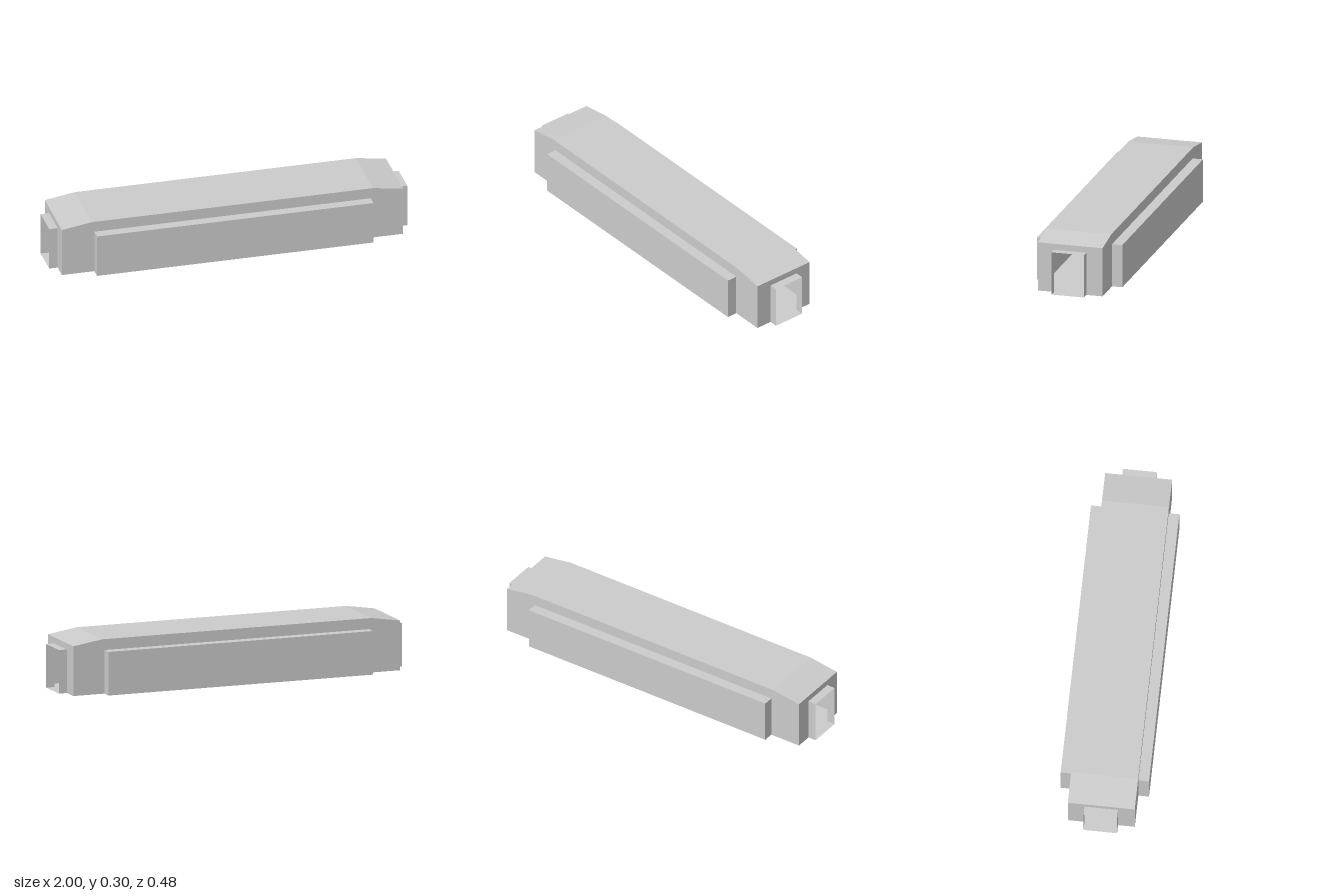
import * as THREE from 'three';

const material = new THREE.MeshStandardMaterial({ color: 0xcccccc, flatShading: true, side: THREE.DoubleSide });

// Overall dimensions (half sizes along x and z)
const BODY_X = 0.953, BODY_Z = 0.182, EAVE_Y = 0.274, ROOF_Y = 0.3, ROOF_X = 0.785;
const DOOR_Z = 0.091, DOOR_Y = 0.24;
const PANEL_X = 0.772, PANEL_Z = 0.24;

function addMesh(parent, name, geometry) {
  const mesh = new THREE.Mesh(geometry, material);
  mesh.name = name;
  parent.add(mesh);
  return mesh;
}

// Thin sheet made by sweeping a polyline along a straight offset
function sheet(points, offset) {
  const positions = [];
  for (let i = 0; i < points.length - 1; i++) {
    const a = new THREE.Vector3(...points[i]);
    const b = new THREE.Vector3(...points[i + 1]);
    const c = b.clone().add(offset);
    const d = a.clone().add(offset);
    for (const p of [a, b, c, a, c, d]) positions.push(p.x, p.y, p.z);
  }
  const geometry = new THREE.BufferGeometry();
  geometry.setAttribute('position', new THREE.Float32BufferAttribute(positions, 3));
  geometry.computeVertexNormals();
  return geometry;
}

function flatShape(points) {
  return new THREE.ShapeGeometry(new THREE.Shape(points.map(([x, y]) => new THREE.Vector2(x, y))));
}

export function createModel() {
  const model = new THREE.Group();
  model.name = 'corridorModule';

  // Hollow body: roof with sloping ends, and floor
  const across = new THREE.Vector3(0, 0, 2 * BODY_Z);
  const roofLine = [[BODY_X, EAVE_Y], [ROOF_X, ROOF_Y], [-ROOF_X, ROOF_Y], [-BODY_X, EAVE_Y]];
  addMesh(model, 'roof', sheet(roofLine.map(([x, y]) => [x, y, -BODY_Z]), across));
  addMesh(model, 'floor', sheet([[-BODY_X, 0, -BODY_Z], [BODY_X, 0, -BODY_Z]], across));

  // Side walls follow the roof line; each carries a shallow outer panel
  for (const [s, side] of [[1, 'front'], [-1, 'back']]) {
    const wall = addMesh(model, side + 'Wall', flatShape([[-BODY_X, 0], [BODY_X, 0], ...roofLine]));
    wall.position.z = s * BODY_Z;
    wall.rotation.y = s > 0 ? 0 : Math.PI;

    const panel = addMesh(model, side + 'Panel',
      new THREE.BoxGeometry(2 * PANEL_X, DOOR_Y, PANEL_Z - BODY_Z));
    panel.position.set(0, DOOR_Y / 2, s * (PANEL_Z + BODY_Z) / 2);
  }

  // End walls with a doorway, and an open sleeve around each doorway
  const endOutline = [
    [-BODY_Z, 0], [-DOOR_Z, 0], [-DOOR_Z, DOOR_Y], [DOOR_Z, DOOR_Y], [DOOR_Z, 0],
    [BODY_Z, 0], [BODY_Z, EAVE_Y], [-BODY_Z, EAVE_Y],
  ];
  const sleeveLine = [[0, DOOR_Z], [0, -DOOR_Z], [DOOR_Y, -DOOR_Z], [DOOR_Y, DOOR_Z], [0, DOOR_Z]];
  for (const [s, side] of [[1, 'left'], [-1, 'right']]) {
    const endWall = addMesh(model, side + 'EndWall', flatShape(endOutline));
    endWall.position.x = s * BODY_X;
    endWall.rotation.y = s * Math.PI / 2;

    const startX = s > 0 ? BODY_X : -1;
    addMesh(model, side + 'DoorSleeve',
      sheet(sleeveLine.map(([y, z]) => [startX, y, z]), new THREE.Vector3(1 - BODY_X, 0, 0)));
  }

  return model;
}
